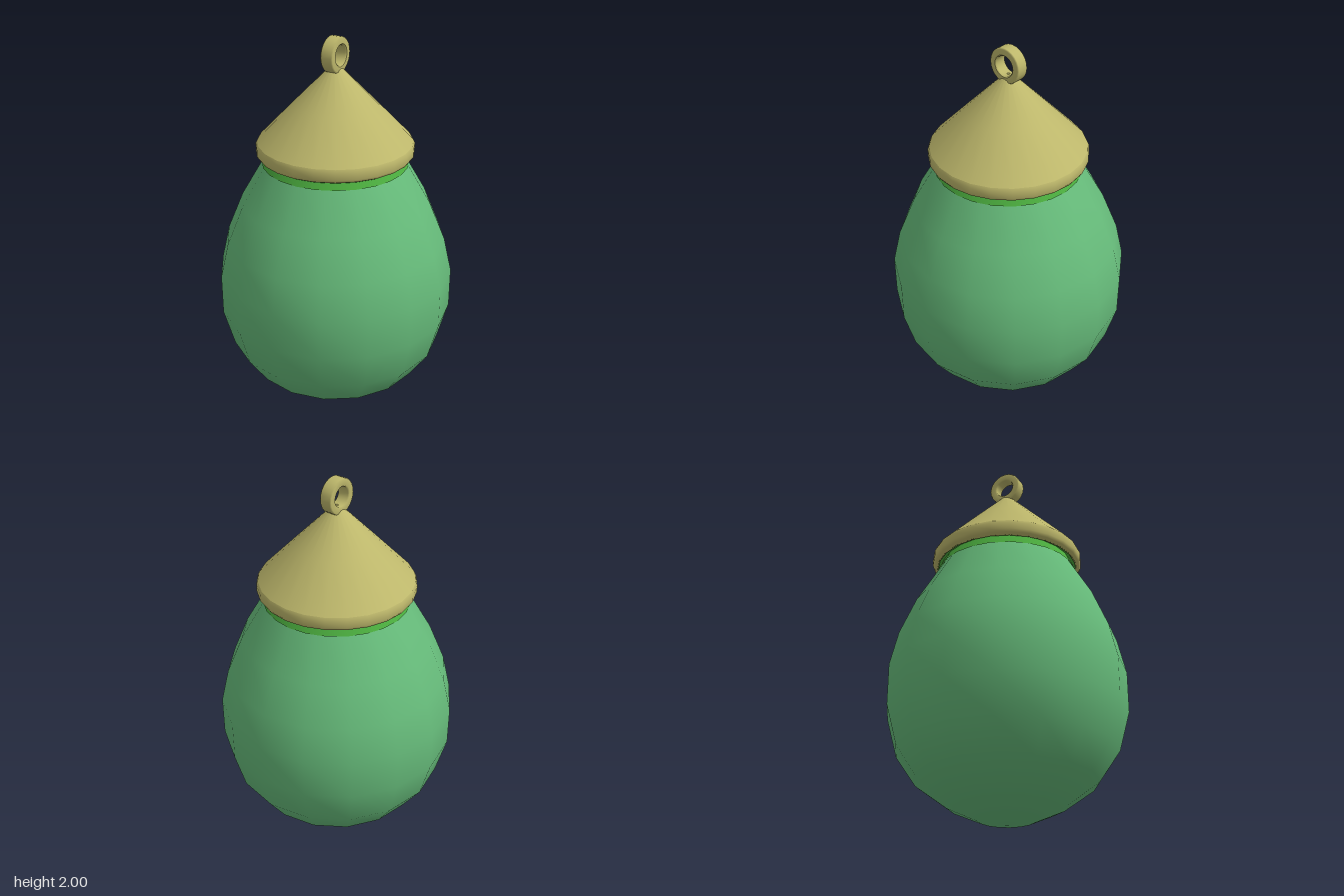
import * as THREE from 'three';

const gold = new THREE.MeshStandardMaterial({ color: 0xbdb76b });
gold.name = 'khaki gold';
const green = new THREE.MeshStandardMaterial({ color: 0x66bb7a });
green.name = 'soft green';
const bright = new THREE.MeshStandardMaterial({ color: 0x4caf3f, side: THREE.DoubleSide });
bright.name = 'bright green';

// Surface of revolution from [radius, height] pairs, listed bottom to top
function lathe(name, profile, sides, material) {
  const points = profile.map(([r, y]) => new THREE.Vector2(r, y));
  const mesh = new THREE.Mesh(new THREE.LatheGeometry(points, sides), material);
  mesh.name = name;
  return mesh;
}

export function createModel() {
  const model = new THREE.Group();
  model.name = 'ornament';

  // Egg-shaped body with a faceted 16-sided outline
  model.add(lathe('body', [
    [0, 0.005], [0.14, 0.027], [0.295, 0.095], [0.455, 0.21], [0.558, 0.36],
    [0.612, 0.56], [0.612, 0.77], [0.57, 0.95], [0.487, 1.15], [0.36, 1.37],
    [0.33, 1.42], [0, 1.5],
  ], 16, green));

  // Bright collar around the neck, continuing under the cap
  model.add(lathe('collar', [[0.372, 1.357], [0.352, 1.4], [0.34, 1.425]], 24, bright));
  model.add(lathe('capUnderside', [[0.32, 1.425], [0.375, 1.397]].reverse(), 24, bright));

  // Conical cap: rounded rim, then a straight cone
  model.add(lathe('capRim', [
    [0.37, 1.396], [0.39, 1.405], [0.4, 1.42], [0.4, 1.455], [0.392, 1.472],
  ], 24, gold));
  model.add(lathe('capCone', [
    [0.392, 1.472], [0.21, 1.662], [0.03, 1.848], [0, 1.865],
  ], 24, gold));

  // Hanging loop: a flat band with softened edges, standing in the yz plane
  const loop = lathe('hangingLoop', [
    [0.056, -0.033], [0.084, -0.033], [0.09, -0.027], [0.09, 0.027],
    [0.084, 0.033], [0.056, 0.033], [0.05, 0.027], [0.05, -0.027], [0.056, -0.033],
  ], 24, gold);
  loop.rotation.z = Math.PI / 2;
  loop.position.y = 1.91;
  model.add(loop);

  return model;
}
